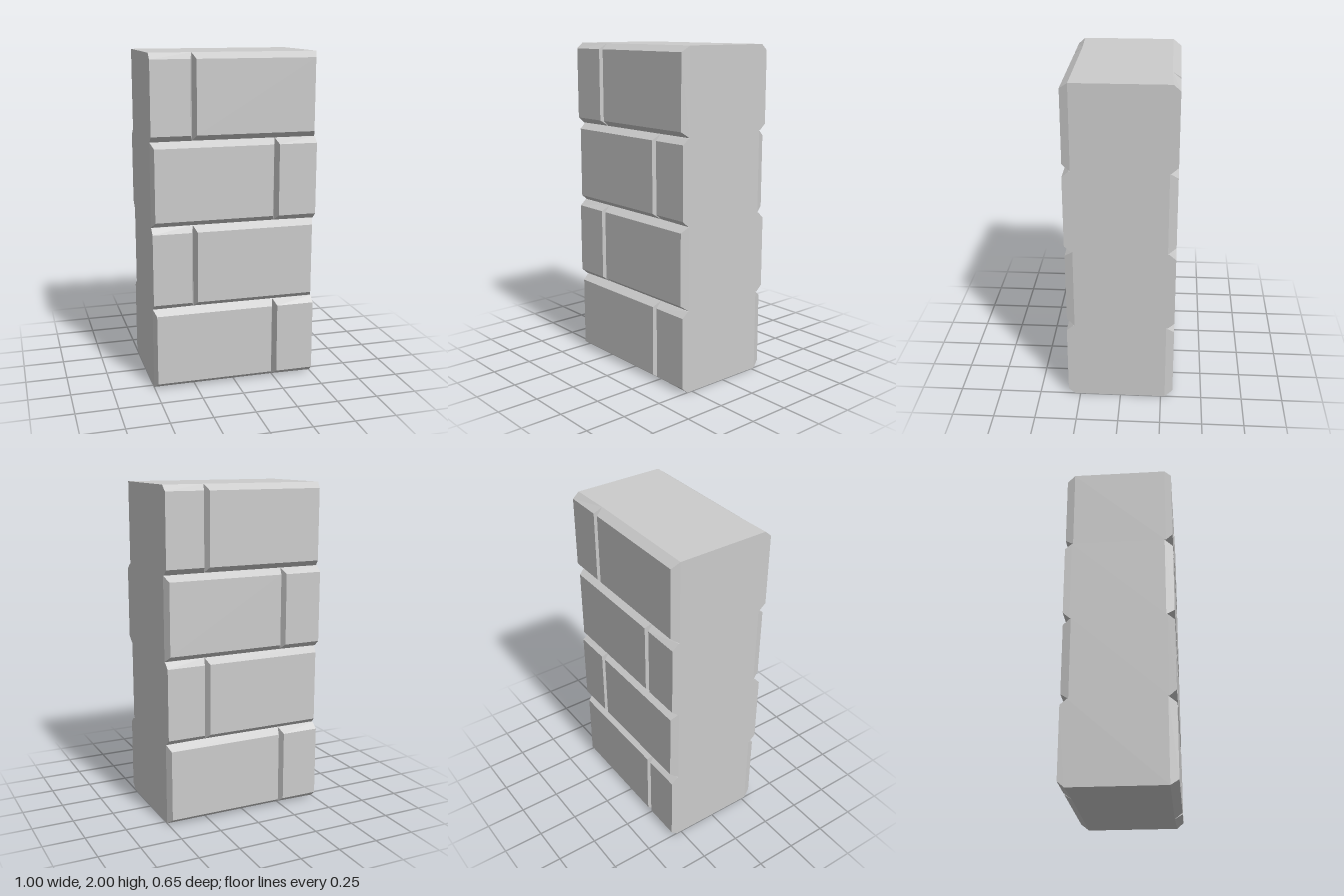
import * as THREE from 'three';

const ROWS = 4, ROW_H = 0.5;
const HALF_W = 0.5, JOINT_X = 0.25;
const Z_CORE = 0.275, Z_LIP = 0.283, Z_FACE = 0.323;
const BEVEL_X = 0.018, BEVEL_Y = 0.035;

const material = new THREE.MeshStandardMaterial({ color: 0xcccccc, flatShading: true });

function addMesh(parent, geometry, name) {
  const mesh = new THREE.Mesh(geometry, material);
  mesh.name = name;
  parent.add(mesh);
  return mesh;
}

// Bevelled block face; an end lying on the flush side of the wall has no bevel
function brickGeometry(x0, x1) {
  const flush0 = x0 === -HALF_W && x1 < 0;
  const flush1 = x1 === HALF_W && x0 > 0;
  const z0 = flush0 ? Z_LIP : Z_CORE, z1 = flush1 ? Z_LIP : Z_CORE;
  const f0 = x0 + (flush0 ? 0 : BEVEL_X), f1 = x1 - (flush1 ? 0 : BEVEL_X);
  const y0 = BEVEL_Y, y1 = ROW_H - BEVEL_Y;
  const base = [[x0, 0, z0], [x1, 0, z1], [x1, ROW_H, z1], [x0, ROW_H, z0]];
  const face = [[f0, y0, Z_FACE], [f1, y0, Z_FACE], [f1, y1, Z_FACE], [f0, y1, Z_FACE]];
  const points = [];
  const quad = (a, b, c, d) => points.push(...a, ...b, ...c, ...a, ...c, ...d);
  quad(...face);
  for (let i = 0; i < 4; i++) {
    const j = (i + 1) % 4;
    quad(base[i], base[j], face[j], face[i]);
  }
  const geometry = new THREE.BufferGeometry();
  geometry.setAttribute('position', new THREE.Float32BufferAttribute(points, 3));
  geometry.computeVertexNormals();
  return geometry;
}

// Solid middle of one row, slightly thicker at the two flush corners
function coreGeometry(side) {
  const outline = [
    [-HALF_W, Z_LIP], [-JOINT_X, Z_CORE], [HALF_W, Z_CORE],
    [HALF_W, -Z_LIP], [JOINT_X, -Z_CORE], [-HALF_W, -Z_CORE],
  ].map(([x, z]) => new THREE.Vector2(side * x, -z));
  return new THREE.ExtrudeGeometry(new THREE.Shape(outline), { depth: ROW_H, bevelEnabled: false })
    .rotateX(-Math.PI / 2);
}

export function createModel() {
  const model = new THREE.Group();
  model.name = 'brickWall';
  for (let r = 0; r < ROWS; r++) {
    // The joint alternates between the two sides from row to row
    const side = r % 2 ? 1 : -1;
    const joint = -side * JOINT_X;
    const row = new THREE.Group();
    row.name = `row${r + 1}`;
    row.position.y = r * ROW_H;
    addMesh(row, coreGeometry(side), 'core');
    // The back repeats the front turned half way round
    for (const [name, angle] of [['front', 0], ['back', Math.PI]]) {
      addMesh(row, brickGeometry(-HALF_W, joint).rotateY(angle), `${name}BrickA`);
      addMesh(row, brickGeometry(joint, HALF_W).rotateY(angle), `${name}BrickB`);
    }
    model.add(row);
  }
  return model;
}
